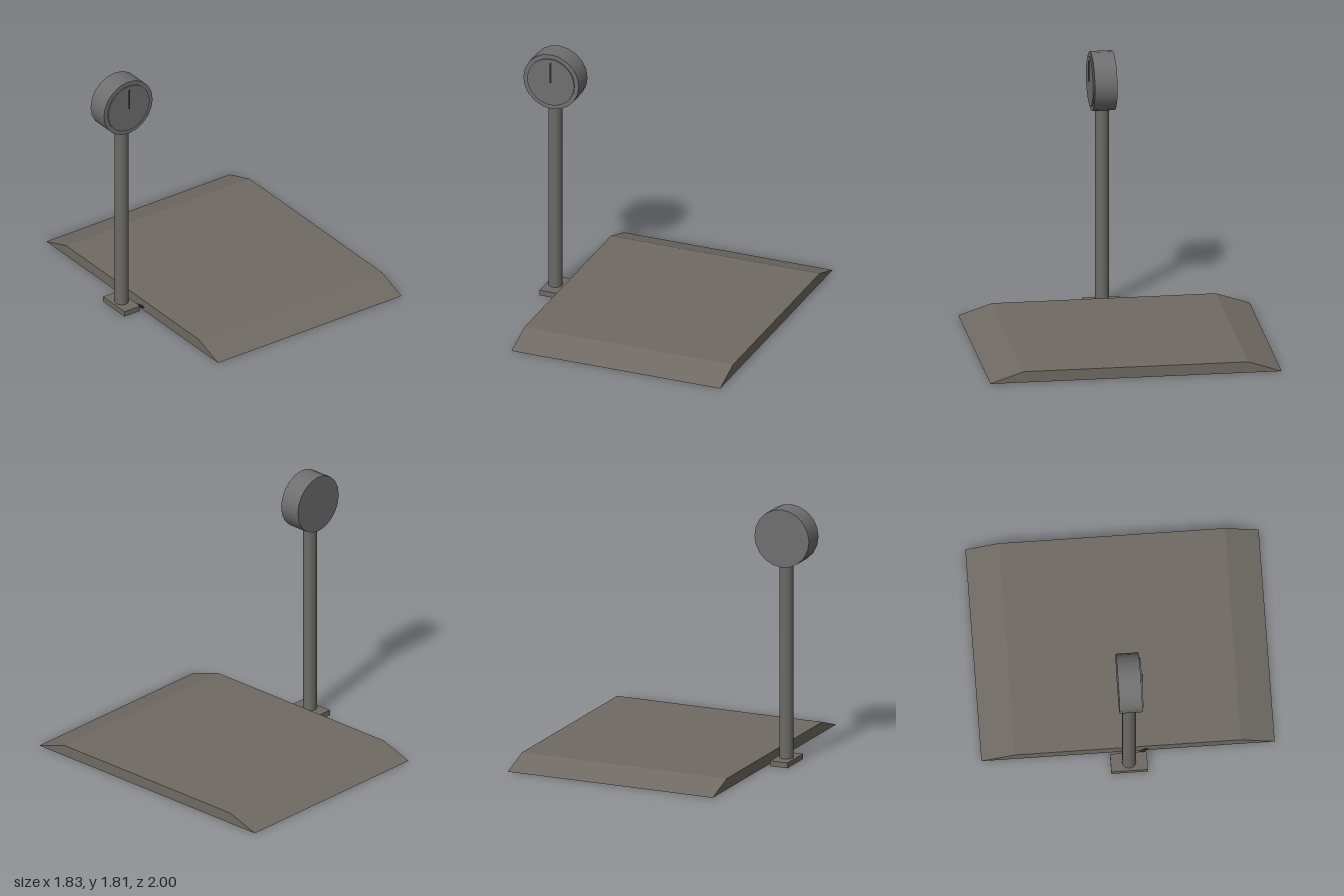
import * as THREE from 'three';

export function createModel() {
  const model = new THREE.Group();
  const paint = (color) => new THREE.MeshStandardMaterial({ color });
  const platformPaint = paint(0x6f6a63);
  const postPaint = paint(0x6c6a66);
  const dialPaint = paint(0x6e6f6e);
  const pointerPaint = paint(0x625e5b);
  const cablePaint = paint(0x2a2928);
  const postX = -0.712;
  const dialY = 1.603;

  function add(name, geometry, material, x, y, z) {
    const mesh = new THREE.Mesh(geometry, material);
    mesh.name = name;
    mesh.position.set(x, y, z);
    model.add(mesh);
  }

  // Platform: ramped cross-section in z and y, extruded along x
  const profile = new THREE.Shape([
    new THREE.Vector2(-1, 0),
    new THREE.Vector2(1, 0),
    new THREE.Vector2(0.77, 0.077),
    new THREE.Vector2(-0.77, 0.077),
  ]);
  const platform = new THREE.ExtrudeGeometry(profile, { depth: 1.535, bevelEnabled: false });
  platform.rotateY(Math.PI / 2);
  add('platform', platform, platformPaint, -0.622, 0, 0);

  // Foot and post beside the platform
  add('postFoot', new THREE.BoxGeometry(0.13, 0.038, 0.25), platformPaint, postX, 0.019, 0);
  add('post', new THREE.CylinderGeometry(0.047, 0.047, 1.385, 24), postPaint, postX, 0.7275, 0);

  // Dial housing, with a raised face and a pointer at twelve o'clock
  const disc = (radius, depth, sides) =>
    new THREE.CylinderGeometry(radius, radius, depth, sides).rotateX(Math.PI / 2);
  add('dialHousing', disc(0.204, 0.155, 20), dialPaint, postX, dialY, 0);
  add('dialFace', disc(0.172, 0.02, 32), dialPaint, postX, dialY, 0.076);
  add('pointer', new THREE.BoxGeometry(0.008, 0.145, 0.012), pointerPaint, postX, dialY + 0.0725, 0.089);

  // Short cable from the foot into the platform
  const cablePath = new THREE.CatmullRomCurve3([
    new THREE.Vector3(-0.69, 0.03, 0.05),
    new THREE.Vector3(-0.65, 0.028, 0.075),
    new THREE.Vector3(-0.625, 0.024, 0.12),
    new THREE.Vector3(-0.6, 0.024, 0.16),
  ]);
  add('cable', new THREE.TubeGeometry(cablePath, 16, 0.008, 8), cablePaint, 0, 0, 0);

  return model;
}
